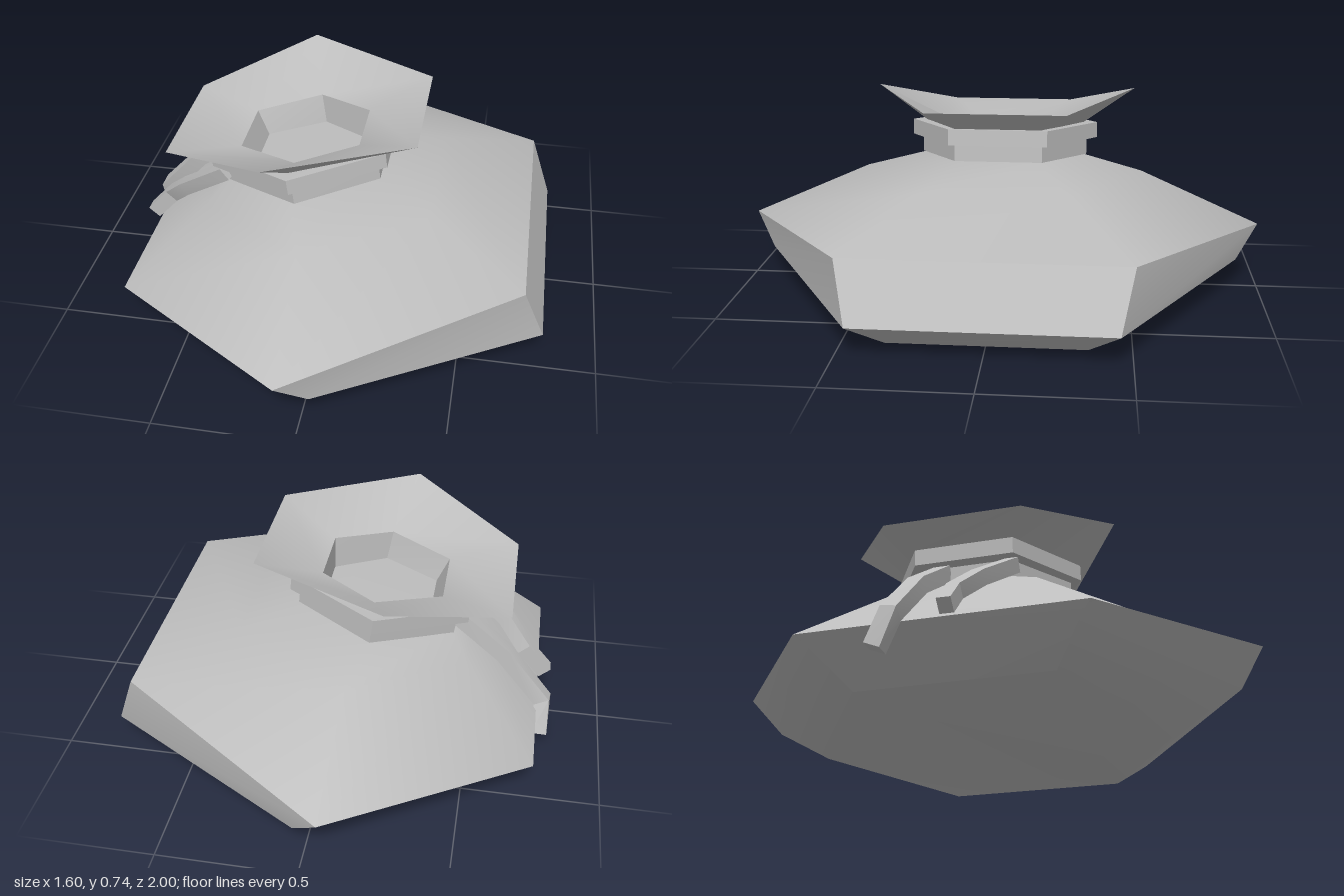
import * as THREE from 'three';
import { toCreasedNormals } from 'three/addons/utils/BufferGeometryUtils.js';

const grey = new THREE.MeshStandardMaterial({ color: 0xbdbdbd });
grey.name = 'greyCloth';

// Six-sided ring from three [x, y, z] corners (right, middle, left), mirrored in z
function hexRing(r, m, l) {
  const back = ([x, y, z]) => [x, y, -z];
  return [r, back(r), back(m), back(l), l, m];
}

// Skin a list of rings, counter-clockwise from above when listed bottom to top
function loft(name, rings, crease, capStart = true, capEnd = true) {
  const pos = [];
  const n = rings[0].length;
  const tri = (a, b, c) => pos.push(...a, ...b, ...c);
  for (let i = 0; i < rings.length - 1; i++) {
    for (let j = 0; j < n; j++) {
      const k = (j + 1) % n;
      const a = rings[i][j], b = rings[i][k], c = rings[i + 1][k], d = rings[i + 1][j];
      tri(a, b, c);
      tri(a, c, d);
    }
  }
  const last = rings[rings.length - 1];
  for (let j = 1; j < n - 1; j++) {
    if (capStart) tri(rings[0][0], rings[0][j + 1], rings[0][j]);
    if (capEnd) tri(last[0], last[j], last[j + 1]);
  }
  const geo = new THREE.BufferGeometry();
  geo.setAttribute('position', new THREE.Float32BufferAttribute(pos, 3));
  const mesh = new THREE.Mesh(toCreasedNormals(geo, crease), grey);
  mesh.name = name;
  return mesh;
}

// Square cord swept along a path of [x, y, z] points
function cord(name, path, halfWidth, halfThick) {
  const pts = path.map(p => new THREE.Vector3(...p));
  const rings = pts.map((p, i) => {
    const t = pts[Math.min(i + 1, pts.length - 1)].clone()
      .sub(pts[Math.max(i - 1, 0)]).normalize();
    const up = new THREE.Vector3(t.y, -t.x, 0).normalize();
    const side = new THREE.Vector3().crossVectors(t, up).normalize();
    return [[1, 1], [-1, 1], [-1, -1], [1, -1]].map(([s, u]) =>
      p.clone().addScaledVector(side, -s * halfWidth).addScaledVector(up, u * halfThick).toArray());
  });
  return loft(name, rings, 0.3);
}

export function createModel() {
  const bag = new THREE.Group();
  bag.name = 'pouch';

  // Slumped body, its widest ring tilted up towards +x
  bag.add(loft('body', [
    hexRing([0.65, 0, 0.35], [0.04, 0, 0.7], [-0.57, 0, 0.35]),
    hexRing([0.8, 0.115, 0.455], [0.035, 0.12, 0.91], [-0.71, 0.115, 0.46]),
    hexRing([0.72, 0.33, 0.5], [-0.065, 0.235, 1], [-0.75, 0.15, 0.5]),
    hexRing([0.36, 0.45, 0.27], [-0.08, 0.437, 0.54], [-0.48, 0.4, 0.27]),
    hexRing([0.11, 0.505, 0.15], [-0.15, 0.485, 0.3], [-0.41, 0.46, 0.15]),
  ], 0.65));

  // Two stacked tie bands around the neck
  const band = (name, x0, x1, z, y, h) => {
    const mid = (x0 + x1) / 2;
    const ring = (dy, dx) => hexRing(
      [x1 + dx, y + 0.035 + dy, z / 2], [mid + dx, y + dy, z], [x0 + dx, y - 0.035 + dy, z / 2]);
    bag.add(loft(name, [ring(0, 0), ring(h, -0.007)], 0.3));
  };
  // Upper band is open on top so the mouth stays hollow
  band('lowerBand', -0.425, 0.16, 0.325, 0.487, 0.03);
  const ringAt = (x0, x1, z, y) => hexRing(
    [x1, y + 0.035, z / 2], [(x0 + x1) / 2, y, z], [x0, y - 0.035, z / 2]);
  bag.children.pop();
  bag.add(loft('lowerBand', [
    ringAt(-0.42, 0.16, 0.325, 0.487), ringAt(-0.428, 0.153, 0.325, 0.55),
  ], 0.3, true, false));
  bag.add(loft('upperBand', [
    ringAt(-0.4, 0.13, 0.29, 0.55), ringAt(-0.47, 0.187, 0.365, 0.553),
    ringAt(-0.477, 0.18, 0.365, 0.612), ringAt(-0.4, 0.11, 0.28, 0.612),
  ], 0.3, false, false));

  // Flared mouth: underside, rim, funnel, then the hollow and its floor
  bag.add(loft('mouth', [
    hexRing([0.165, 0.645, 0.16], [-0.15, 0.61, 0.31], [-0.46, 0.575, 0.16]),
    hexRing([0.3, 0.732, 0.255], [-0.205, 0.74, 0.51], [-0.625, 0.605, 0.25]),
    hexRing([0.075, 0.635, 0.125], [-0.135, 0.612, 0.25], [-0.37, 0.585, 0.13]),
    hexRing([0.075, 0.51, 0.115], [-0.115, 0.5, 0.23], [-0.325, 0.49, 0.115]),
  ], 0.65, false, true));

  // Loose cord ends hanging over the -x side
  bag.add(cord('backCord', [
    [-0.42, 0.495, -0.09], [-0.61, 0.355, -0.12], [-0.77, 0.175, -0.15], [-0.768, 0.055, -0.2],
  ], 0.03, 0.03));
  bag.add(cord('frontCord', [
    [-0.42, 0.495, 0.17], [-0.61, 0.355, 0.1], [-0.69, 0.27, 0.04], [-0.775, 0.175, 0.035],
  ], 0.025, 0.028));

  return bag;
}
